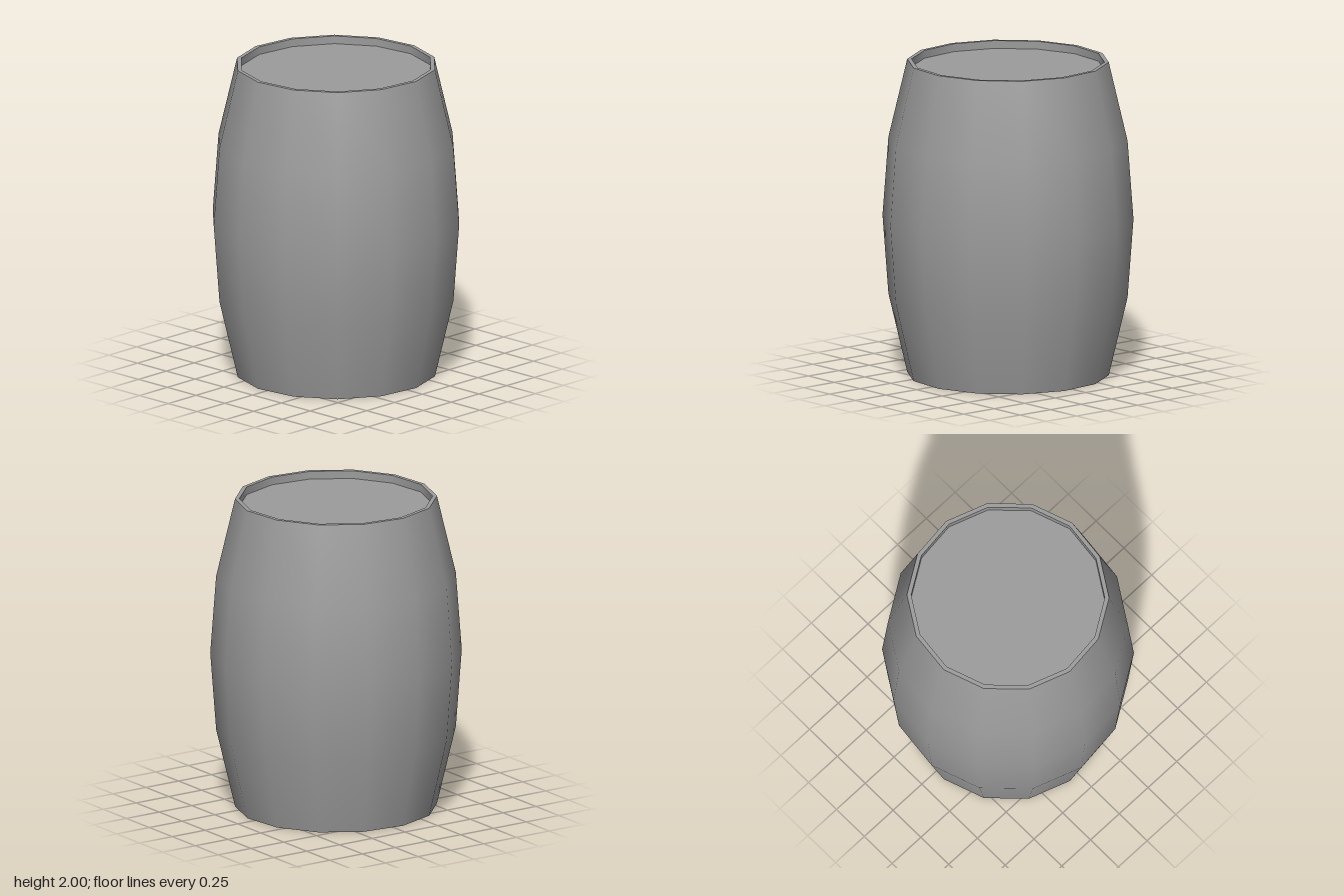
import * as THREE from 'three';

const SIDES = 14;
const START = -Math.PI / SIDES / 2; // quarter of a side, turns the barrel slightly
const RIM = 0.632, INNER = 0.605, RECESS = 0.05, HEIGHT = 2;

export function createModel() {
  const barrel = new THREE.Group();
  barrel.name = 'barrel';
  const material = new THREE.MeshStandardMaterial({ color: 0x9c9c9c });

  // One turned surface; separate surfaces keep the edges between them sharp
  const turn = (name, profile, parent) => {
    const points = profile.map(([r, y]) => new THREE.Vector2(r, y));
    const mesh = new THREE.Mesh(new THREE.LatheGeometry(points, SIDES, START), material);
    mesh.name = name;
    parent.add(mesh);
  };

  // Bulging staves
  turn('staves', [[RIM, 0], [0.75, 0.5], [0.787, 1], [0.75, 1.5], [RIM, HEIGHT]], barrel);

  // Rim, recess wall and sunken lid at each end
  for (const [name, edge, sign] of [['top', HEIGHT, 1], ['bottom', 0, -1]]) {
    const end = new THREE.Group();
    end.name = name + 'End';
    const floor = edge - sign * RECESS;
    // Profiles run the other way at the bottom so the faces point outward
    const ordered = (profile) => (sign > 0 ? profile : profile.reverse());
    turn(name + 'Rim', ordered([[RIM, edge], [INNER, edge]]), end);
    turn(name + 'RecessWall', ordered([[INNER, edge], [INNER, floor]]), end);
    turn(name + 'Lid', ordered([[INNER, floor], [0, floor]]), end);
    barrel.add(end);
  }
  return barrel;
}
